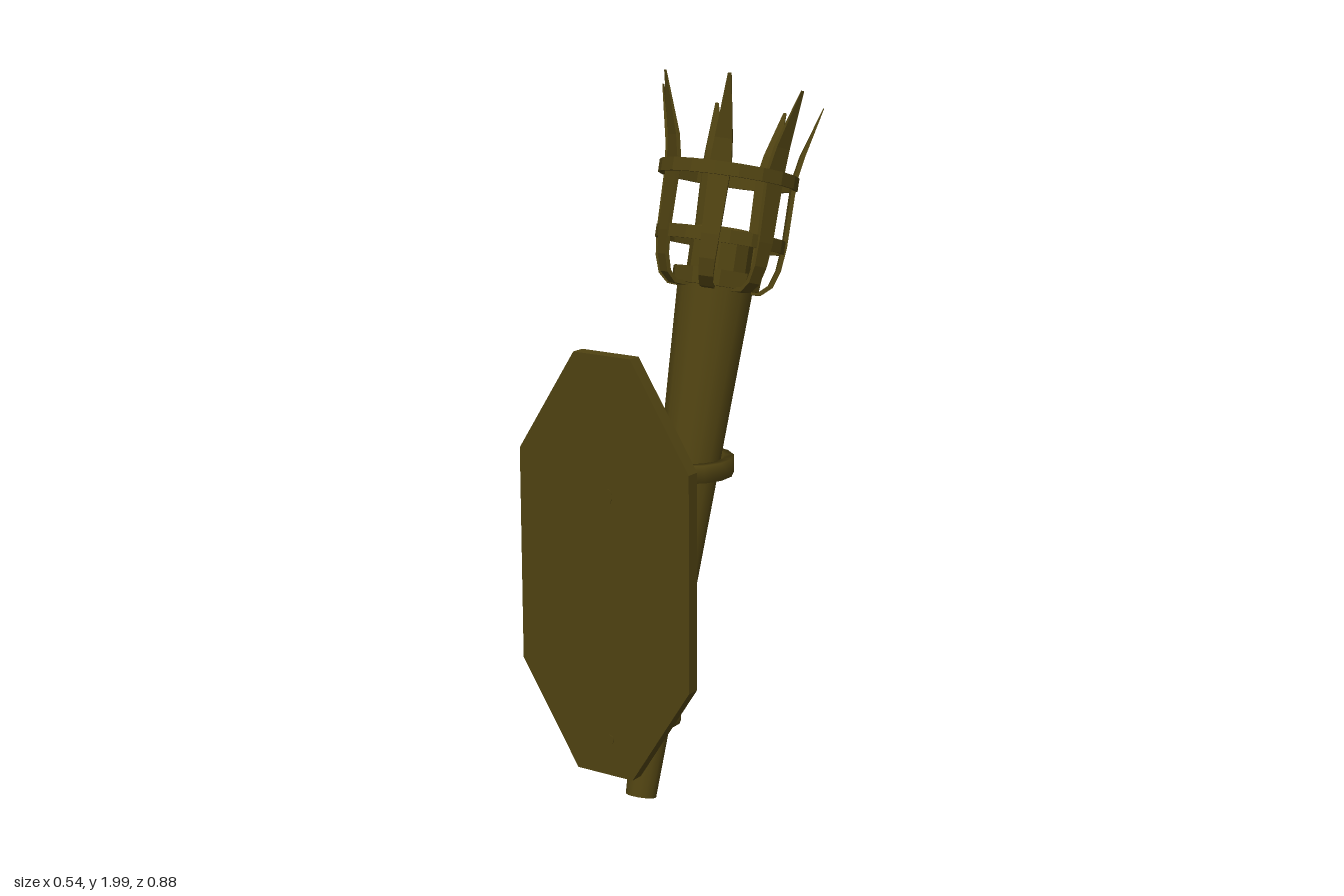
import * as THREE from 'three';

const smooth = new THREE.MeshStandardMaterial({ color: 0x4f4211 });
const flat = new THREE.MeshStandardMaterial({ color: 0x4f4211, flatShading: true });
const CX = 0.013; // sideways position of the torch axis

function add(parent, name, geometry, material, x = 0, y = 0, z = 0) {
  const mesh = new THREE.Mesh(geometry, material);
  mesh.name = name;
  mesh.position.set(x, y, z);
  parent.add(mesh);
  return mesh;
}

// Turned part from [radius, height] points, listed bottom to top on the outside
function turned(points, sides) {
  return new THREE.LatheGeometry(points.map(([r, y]) => new THREE.Vector2(r, y)), sides);
}

// Flat band with a rectangular section
function band(inner, outer, height, sides) {
  const h = height / 2;
  return turned([[inner, -h], [outer, -h], [outer, h], [inner, h], [inner, -h]], sides);
}

// Basket prong: a box bent along [radius, height, half width] stations
function prongGeometry(tipRadius, tipHeight) {
  const path = [
    [0.09, 1.425, 0.018], [0.13, 1.427, 0.018], [0.156, 1.45, 0.02], [0.171, 1.495, 0.022],
    [0.178, 1.56, 0.025], [0.179, 1.75, 0.03], [0.192, 1.82, 0.024],
    [tipRadius, tipHeight, 0.005],
  ];
  const n = path.length - 1;
  const geo = new THREE.BoxGeometry(1, 1, 1, 1, n, 1);
  const p = geo.attributes.position;
  for (let v = 0; v < p.count; v++) {
    const i = Math.round((p.getY(v) + 0.5) * n);
    const [r, y, w] = path[i];
    const a = path[Math.max(i - 1, 0)], b = path[Math.min(i + 1, n)];
    const dr = b[0] - a[0], dy = b[1] - a[1], len = Math.hypot(dr, dy);
    const t = Math.sign(p.getZ(v)) * (i === n ? 0.001 : 0.006);
    p.setXYZ(v, Math.sign(p.getX(v)) * w, y - (t * dr) / len, r + (t * dy) / len);
  }
  geo.computeVertexNormals();
  return geo;
}

export function createModel() {
  const model = new THREE.Group();
  model.name = 'wallTorch';

  // Wall plate with cut corners
  const outline = [[-0.09, 0.128], [0.09, 0.128], [0.272, 0.412], [0.272, 1.008],
    [0.09, 1.293], [-0.09, 1.293], [-0.272, 1.008], [-0.272, 0.412]];
  const shape = new THREE.Shape(outline.map(([x, y]) => new THREE.Vector2(x, y)));
  add(model, 'wallPlate', new THREE.ExtrudeGeometry(shape, { depth: 0.04, bevelEnabled: false }),
    flat, 0, 0, 0.397);

  // Two level brackets: an oval rod through the plate and a hoop around the handle
  const brackets = [
    { y: 0.914, z: 0.037, inner: 0.095, outer: 0.12, height: 0.05, rodHeight: 0.021 },
    { y: 0.231, z: 0.22, inner: 0.056, outer: 0.073, height: 0.03, rodHeight: 0.014 },
  ];
  for (const b of brackets) {
    const bracket = new THREE.Group();
    bracket.name = 'bracket';
    bracket.position.set(CX + 0.004, b.y, 0);
    add(bracket, 'hoop', band(b.inner, b.outer, b.height, 14), smooth, 0, 0, b.z);
    const start = b.z + b.inner, length = 0.439 - start;
    const rod = add(bracket, 'rod', new THREE.CylinderGeometry(0.013, 0.013, length, 10), smooth,
      0, 0, start + length / 2);
    rod.rotation.x = Math.PI / 2;
    rod.scale.z = b.rodHeight / 0.013;
    model.add(bracket);
  }

  // Leaning torch, built upright along its own axis
  const torch = new THREE.Group();
  torch.name = 'torch';
  torch.position.set(CX, 0.015, 0.285);
  torch.rotation.x = -THREE.MathUtils.degToRad(15.3);
  model.add(torch);

  add(torch, 'handle', new THREE.CylinderGeometry(0.106, 0.043, 1.43, 14), smooth, 0, 0.715, 0);
  add(torch, 'collar', new THREE.CylinderGeometry(0.128, 0.124, 0.045, 10), flat, 0.002, 1.45, 0.002);

  // Hollow cup that holds the flame
  add(torch, 'cup', turned([[0.088, 1.465], [0.088, 1.585], [0.074, 1.592], [0.054, 1.56],
    [0.052, 1.52], [0, 1.52]], 12), flat, 0.002);

  // Basket, set slightly forward of the handle axis
  const basket = new THREE.Group();
  basket.name = 'basket';
  basket.position.set(0.003, 0, 0.013);
  torch.add(basket);
  add(basket, 'lowerHoop', band(0.173, 0.181, 0.036, 18), flat, 0, 1.56, 0);
  add(basket, 'upperHoop', band(0.185, 0.195, 0.036, 18), flat, 0, 1.738, 0.006);

  // Seven pointed prongs, those at the front longer and leaning further out
  for (let i = 0; i < 7; i++) {
    const angle = Math.PI - 0.05 + (i * 2 * Math.PI) / 7;
    const front = Math.cos(angle);
    add(basket, 'prong', prongGeometry(0.237 + 0.01 * front, 1.97 + 0.018 * front), flat)
      .rotation.y = angle;
  }
  return model;
}
